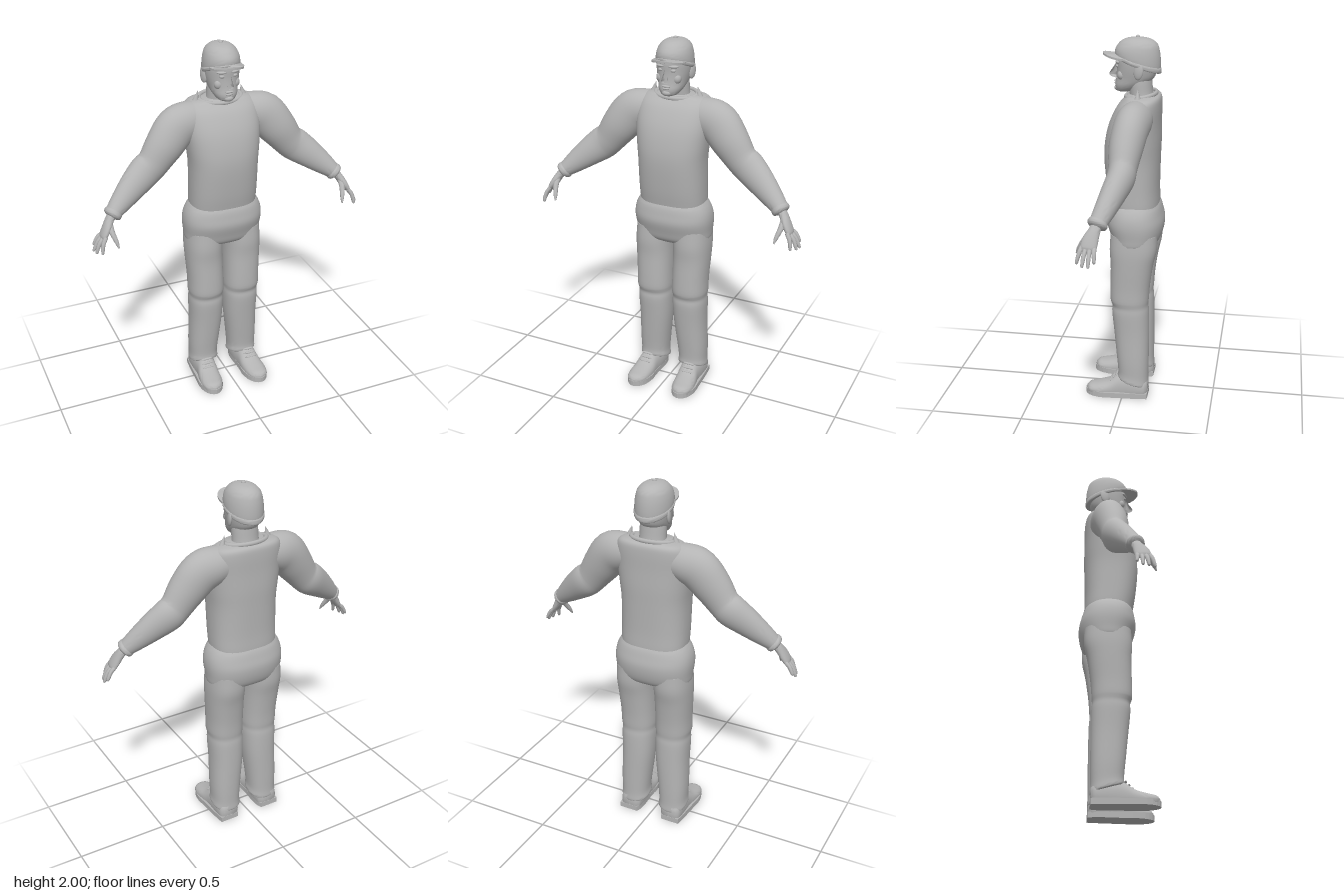
import * as THREE from 'three';
import { toCreasedNormals } from 'three/addons/utils/BufferGeometryUtils.js';

const Y = new THREE.Vector3(0, 1, 0), Z = new THREE.Vector3(0, 0, 1);

// Smooth loft through rows of [x, y, z, radiusU, radiusV]; v follows ref, axis may be fixed.
function loft(rows, { axis = null, ref = Z, power = 2, sides = 32, steps = 4, warp = null } = {}) {
  const centres = new THREE.CatmullRomCurve3(rows.map(r => new THREE.Vector3(r[0], r[1], r[2])));
  const radii = new THREE.CatmullRomCurve3(rows.map(r => new THREE.Vector3(r[3], r[4], 0)));
  centres.curveType = radii.curveType = 'catmullrom';
  const n = (rows.length - 1) * steps, pos = [], idx = [];
  const put = p => { if (warp) warp(p); pos.push(p.x, p.y, p.z); };
  const round = c => Math.sign(c) * Math.abs(c) ** (2 / power);
  for (let i = 0; i <= n; i++) {
    const c = centres.getPoint(i / n), r = radii.getPoint(i / n);
    const t = axis || centres.getTangent(i / n);
    const v = ref.clone().addScaledVector(t, -ref.dot(t)).normalize();
    const u = t.clone().cross(v);
    for (let j = 0; j < sides; j++) {
      const a = j / sides * Math.PI * 2;
      put(c.clone().addScaledVector(u, r.x * round(Math.cos(a))).addScaledVector(v, r.y * round(Math.sin(a))));
    }
  }
  const first = pos.length / 3;
  put(centres.getPoint(0));
  put(centres.getPoint(1));
  for (let j = 0; j < sides; j++) {
    const k = (j + 1) % sides, e = n * sides;
    for (let i = 0; i < n; i++) {
      const a = i * sides + j, b = i * sides + k;
      idx.push(a, a + sides, b, b, a + sides, b + sides);
    }
    idx.push(first, j, k, first + 1, e + k, e + j);
  }
  const g = new THREE.BufferGeometry();
  g.setAttribute('position', new THREE.Float32BufferAttribute(pos, 3));
  g.setIndex(idx);
  return toCreasedNormals(g, 0.9);
}

export function createModel() {
  const model = new THREE.Group();
  const grey = new THREE.MeshStandardMaterial({ color: 0xb4b4b4 });
  grey.name = 'plain grey';
  const add = (name, geometry, x = 0, y = 0, z = 0) => {
    const m = new THREE.Mesh(geometry, grey);
    m.name = name;
    m.position.set(x, y, z);
    model.add(m);
    return m;
  };
  const ball = (name, x, y, z, rx, ry, rz) => {
    const m = add(name, new THREE.SphereGeometry(1, 20, 14), x, y, z);
    m.scale.set(rx, ry, rz);
    return m;
  };

  // Sweater body and hips
  add('torso', loft([
    [0, 1.02, -0.05, 0.17, 0.12], [0, 1.10, -0.047, 0.183, 0.13], [0, 1.20, -0.037, 0.185, 0.138],
    [0, 1.35, -0.031, 0.186, 0.147], [0, 1.45, -0.035, 0.195, 0.146], [0, 1.55, -0.046, 0.203, 0.134],
    [0, 1.64, -0.068, 0.20, 0.113], [0, 1.685, -0.085, 0.175, 0.09], [0, 1.70, -0.08, 0.12, 0.07],
  ], { axis: Y, power: 2.5, sides: 48 }));
  add('hips', loft([
    [0, 0.87, -0.055, 0.17, 0.08], [0, 0.90, -0.055, 0.208, 0.122], [0, 0.95, -0.056, 0.216, 0.142],
    [0, 1.01, -0.051, 0.221, 0.154], [0, 1.06, -0.048, 0.215, 0.147], [0, 1.10, -0.046, 0.198, 0.137],
    [0, 1.13, -0.045, 0.175, 0.12],
  ], { axis: Y, power: 2.35, sides: 48 }));

  // Collar ring
  const collar = add('collar', new THREE.TorusGeometry(1, 0.12, 10, 40), 0, 1.695, -0.075);
  collar.scale.set(0.115, 0.08, 0.1);
  collar.rotation.x = Math.PI / 2 + 0.12;

  for (const s of [1, -1]) {
    const side = s > 0 ? 'left' : 'right';
    const limb = (name, rows, options) =>
      add(side + name, loft(rows.map(r => [r[0] * s, ...r.slice(1)]), options));

    // Collar point
    const point = add(side + 'CollarPoint', new THREE.ConeGeometry(0.022, 0.07, 10), s * 0.128, 1.71, -0.075);
    point.rotation.z = s * 0.25;

    // Trouser leg with a knee crease and a hem raised at the front
    limb('Leg', [
      [0.11, 0.96, -0.055, 0.098, 0.125], [0.113, 0.87, -0.052, 0.101, 0.127], [0.112, 0.78, -0.045, 0.1, 0.115],
      [0.108, 0.66, -0.035, 0.098, 0.108], [0.107, 0.58, -0.032, 0.098, 0.105], [0.106, 0.545, -0.036, 0.094, 0.098],
      [0.106, 0.50, -0.037, 0.096, 0.101], [0.107, 0.38, -0.044, 0.092, 0.096], [0.117, 0.22, -0.052, 0.085, 0.088],
      [0.12, 0.13, -0.055, 0.08, 0.084], [0.12, 0.09, -0.055, 0.083, 0.086], [0.12, 0.085, -0.055, 0.07, 0.072],
    ], { axis: Y.clone().negate(), power: 2.3, warp: p => {
      p.y += 0.45 * (p.z + 0.055) * Math.max(0, 1 - p.y / 0.25);
    } });

    // Shoe with flattened underside, and its sole
    limb('Shoe', [
      [0.128, 0.05, -0.138, 0.04, 0.045], [0.128, 0.05, -0.115, 0.06, 0.07], [0.128, 0.05, -0.04, 0.062, 0.085],
      [0.13, 0.045, 0.025, 0.058, 0.08], [0.135, 0.035, 0.08, 0.062, 0.052], [0.14, 0.03, 0.14, 0.06, 0.038],
      [0.142, 0.03, 0.185, 0.045, 0.028], [0.142, 0.03, 0.205, 0.012, 0.012],
    ], { axis: Z, ref: Y, power: 2.3, warp: p => { p.y = Math.max(p.y, 0.005); } });
    const sole = new THREE.Shape();
    sole.moveTo(0.08, 0.14);
    sole.bezierCurveTo(0.05, 0.08, 0.08, 0, 0.068, -0.09);
    sole.bezierCurveTo(0.075, -0.25, 0.205, -0.25, 0.207, -0.10);
    sole.bezierCurveTo(0.2, -0.03, 0.2, 0.05, 0.188, 0.14);
    const outline = new THREE.Shape(sole.getPoints(12).map(p => new THREE.Vector2(p.x * s, p.y)));
    add(side + 'Sole', new THREE.ExtrudeGeometry(outline, { depth: 0.03, bevelEnabled: false })
      .rotateX(-Math.PI / 2));
    for (let i = 0; i < 3; i++) {
      const lace = ball(side + 'Lace', s * 0.132, 0.125 - i * 0.017, 0.035 + i * 0.017, 0.035, 0.006, 0.007);
      lace.rotation.x = 0.7;
    }

    // Sleeve with elbow fullness and rolled cuff
    limb('Sleeve', [
      [0.10, 1.60, -0.075, 0.085, 0.08], [0.18, 1.592, -0.068, 0.103, 0.09], [0.25, 1.565, -0.058, 0.113, 0.09],
      [0.32, 1.485, -0.045, 0.104, 0.086], [0.385, 1.40, -0.04, 0.088, 0.072], [0.43, 1.363, -0.038, 0.09, 0.07],
      [0.50, 1.31, -0.015, 0.079, 0.063], [0.58, 1.245, 0.015, 0.06, 0.053], [0.645, 1.19, 0.042, 0.04, 0.043],
    ]);
    limb('Cuff', [
      [0.622, 1.21, 0.032, 0.035, 0.037], [0.632, 1.201, 0.037, 0.047, 0.05],
      [0.645, 1.189, 0.043, 0.046, 0.049], [0.652, 1.182, 0.046, 0.03, 0.032],
    ], { sides: 24 });

    // Hand, four fingers and thumb
    limb('Palm', [
      [0.635, 1.20, 0.04, 0.024, 0.028], [0.662, 1.168, 0.051, 0.022, 0.03], [0.685, 1.13, 0.066, 0.021, 0.04],
      [0.706, 1.095, 0.073, 0.016, 0.04], [0.714, 1.082, 0.075, 0.008, 0.03],
    ], { sides: 20 });
    const tips = [[0.748, 1.04, 0.038], [0.757, 1.02, 0.066], [0.75, 1.02, 0.096], [0.728, 1.025, 0.127]];
    tips.forEach(([x, y, z], i) => {
      const base = [0.70, 1.10, 0.045 + i * 0.02];
      limb('Finger', [
        [...base, 0.011, 0.012],
        [(base[0] + x) / 2 + 0.005, (base[1] + y) / 2 + 0.006, (base[2] + z) / 2, 0.011, 0.011],
        [x, y, z, 0.008, 0.008], [x + 0.001, y - 0.006, z, 0.002, 0.002],
      ], { sides: 12, steps: 3 });
    });
    limb('Thumb', [
      [0.668, 1.155, 0.065, 0.015, 0.018], [0.665, 1.12, 0.098, 0.015, 0.015],
      [0.652, 1.075, 0.128, 0.011, 0.011], [0.645, 1.045, 0.144, 0.004, 0.004],
    ], { ref: new THREE.Vector3(s, 0, 0), sides: 12 });

    // Ear, eye, brow and cheek
    const ear = ball(side + 'Ear', s * 0.088, 1.825, -0.072, 0.012, 0.042, 0.026);
    ear.rotation.set(-0.15, s * -0.3, 0);
    ball(side + 'Eye', s * 0.034, 1.845, 0.043, 0.015, 0.009, 0.011);
    const brow = ball(side + 'Brow', s * 0.036, 1.866, 0.042, 0.027, 0.008, 0.014);
    brow.rotation.y = s * 0.3;
    ball(side + 'Cheek', s * 0.045, 1.80, 0.022, 0.024, 0.027, 0.022);
  }

  // Neck and head
  add('neck', loft([
    [0, 1.64, -0.085, 0.08, 0.065], [0, 1.70, -0.075, 0.072, 0.062],
    [0, 1.76, -0.07, 0.07, 0.062], [0, 1.80, -0.07, 0.065, 0.06],
  ], { axis: Y }));
  add('head', loft([
    [0, 1.708, 0.018, 0.022, 0.025], [0, 1.718, 0.006, 0.045, 0.05], [0, 1.745, -0.014, 0.064, 0.075],
    [0, 1.78, -0.042, 0.076, 0.098], [0, 1.83, -0.052, 0.087, 0.105], [0, 1.88, -0.055, 0.09, 0.11],
    [0, 1.93, -0.055, 0.082, 0.10],
  ], { axis: Y, power: 2.2 }));
  add('nose', loft([
    [0, 1.862, 0.042, 0.009, 0.012], [0, 1.83, 0.058, 0.011, 0.016], [0, 1.80, 0.072, 0.016, 0.022],
    [0, 1.787, 0.066, 0.018, 0.02], [0, 1.778, 0.055, 0.008, 0.01],
  ], { axis: Y, sides: 16 }));
  ball('upperLip', 0, 1.764, 0.057, 0.024, 0.006, 0.01);
  ball('lowerLip', 0, 1.751, 0.056, 0.02, 0.006, 0.01);
  ball('chin', 0, 1.727, 0.043, 0.028, 0.018, 0.024);

  // Cap crown sloping down to the back, with its band, brim and button
  const slope = p => { p.y += 0.36 * (p.z - 0.04) * Math.max(0, Math.min(1, (1.95 - p.y) / 0.06)); };
  add('capCrown', loft([
    [0, 1.885, -0.056, 0.093, 0.115], [0, 1.905, -0.056, 0.096, 0.12], [0, 1.935, -0.056, 0.09, 0.114],
    [0, 1.965, -0.056, 0.071, 0.092], [0, 1.983, -0.056, 0.046, 0.06], [0, 1.99, -0.056, 0.012, 0.015],
  ], { axis: Y, warp: slope }));
  add('capBand', loft([
    [0, 1.882, -0.056, 0.09, 0.112], [0, 1.885, -0.056, 0.097, 0.121],
    [0, 1.897, -0.056, 0.099, 0.123], [0, 1.902, -0.056, 0.092, 0.115],
  ], { axis: Y, warp: slope }));
  ball('capButton', 0, 1.991, -0.056, 0.011, 0.009, 0.011);
  const brim = new THREE.Shape();
  brim.moveTo(-0.088, 0.0);
  brim.bezierCurveTo(-0.085, -0.165, 0.085, -0.165, 0.088, 0.0);
  brim.quadraticCurveTo(0, -0.06, -0.088, 0.0);
  const brimGeometry = new THREE.ExtrudeGeometry(brim, { depth: 0.01, bevelEnabled: false, curveSegments: 24 })
    .rotateX(-Math.PI / 2);
  const bp = brimGeometry.attributes.position;
  for (let i = 0; i < bp.count; i++) bp.setY(i, bp.getY(i) - 2.2 * bp.getX(i) ** 2 + 0.05 * bp.getZ(i));
  brimGeometry.computeVertexNormals();
  add('capBrim', brimGeometry, 0, 1.895, 0.002);

  return model;
}
